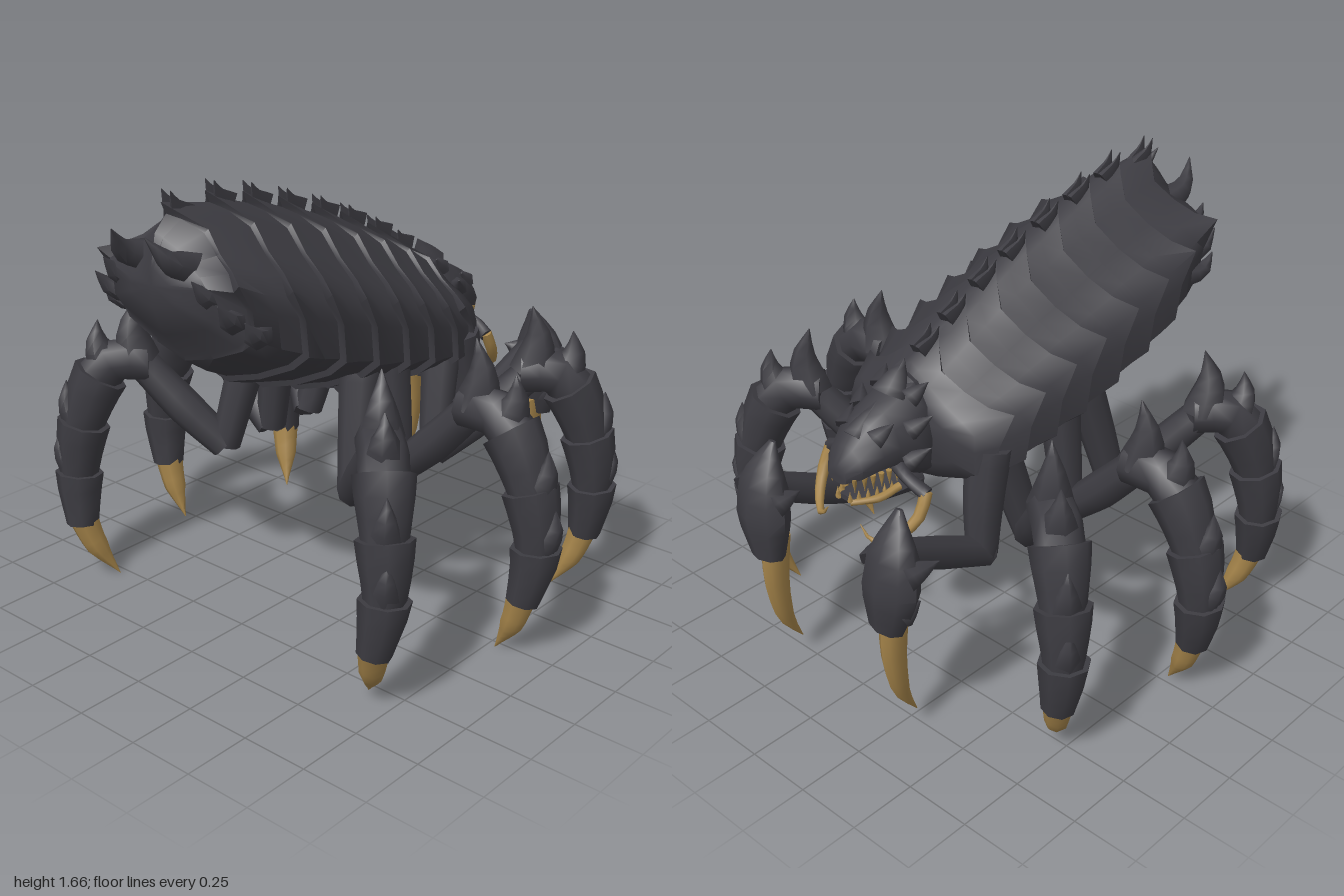
import * as THREE from 'three';
import { toCreasedNormals } from 'three/addons/utils/BufferGeometryUtils.js';

const V = (x, y, z) => new THREE.Vector3(x, y, z);

export function createModel() {
  const root = new THREE.Group();
  const shell = new THREE.MeshStandardMaterial({ color: 0x3d3c42 });
  shell.name = 'dark shell';
  const claw = new THREE.MeshStandardMaterial({ color: 0xa5844a });
  claw.name = 'golden claw';

  // Closed skin over rings of equal length, counterclockwise about the travel direction
  function loft(rings, crease = 0.8) {
    const n = rings[0].length, m = rings.length, pos = [], idx = [];
    rings.forEach(r => r.forEach(p => pos.push(p.x, p.y, p.z)));
    for (const r of [rings[0], rings[m - 1]]) {
      const c = V(0, 0, 0);
      r.forEach(p => c.addScaledVector(p, 1 / n));
      pos.push(c.x, c.y, c.z);
    }
    for (let j = 0; j < n; j++) {
      const k = (j + 1) % n;
      for (let i = 0; i < m - 1; i++) {
        const a = i * n + j, b = i * n + k;
        idx.push(a, b, b + n, a, b + n, a + n);
      }
      idx.push(m * n, k, j, m * n + 1, (m - 1) * n + j, (m - 1) * n + k);
    }
    const g = new THREE.BufferGeometry();
    g.setAttribute('position', new THREE.Float32BufferAttribute(pos, 3));
    g.setIndex(idx);
    return toCreasedNormals(g, crease);
  }
  function add(parent, name, geo, mat) {
    const mesh = new THREE.Mesh(geo, mat);
    mesh.name = name;
    parent.add(mesh);
  }
  // Row interpolation on the first column
  function lerpRow(table, t) {
    let i = 0;
    while (i < table.length - 2 && t > table[i + 1][0]) i++;
    const a = table[i], b = table[i + 1];
    const f = THREE.MathUtils.clamp((t - a[0]) / (b[0] - a[0]), 0, 1);
    return a.map((v, k) => v + (b[k] - v) * f);
  }
  // Tapered limb along a path; plates > 0 gives overlapping armour that flares at its start
  function limb(points, radii, { sides = 8, plates = 0, sx = 1, steps = 8 } = {}) {
    const curve = new THREE.CatmullRomCurve3(points);
    const N = plates ? plates * 3 : steps;
    const fr = curve.computeFrenetFrames(N, false);
    const table = radii.map((r, i) => [i / (radii.length - 1), r]);
    const rings = [];
    const ring = (i, f) => {
      const c = curve.getPointAt(i / N), r = Math.max(lerpRow(table, i / N)[1] * f, 0.0015);
      rings.push(Array.from({ length: sides }, (_, j) => {
        const a = j / sides * Math.PI * 2;
        const p = c.clone().addScaledVector(fr.normals[i], r * Math.cos(a)).addScaledVector(fr.binormals[i], r * Math.sin(a));
        p.x = c.x + (p.x - c.x) * sx;
        return p;
      }));
    };
    if (!plates) for (let i = 0; i <= N; i++) ring(i, 1);
    else for (let k = 0; k < plates; k++) [1.13, 1.08, 0.99, 0.9].forEach((f, q) => ring(k * 3 + q, f));
    return loft(rings, 1.1);
  }
  // Curved thorn
  function spike(parent, name, base, tip, r, mat = shell, bend = V(0, 0, 0), sx = 1) {
    const mid = base.clone().lerp(tip, 0.5).add(bend);
    add(parent, name, limb([base, mid, tip], [r, r * 0.6, 0], { sides: 6, steps: 5, sx }), mat);
  }

  // Cross-section halves, top to bottom: [width fraction, height fraction, chevron z shift, flare out, flare up]
  const bodyHalf = [[0, 1, 0.06, 0, 0.025], [0.12, 0.965, 0.025, 0, 0.005], [0.32, 0.875, -0.02, 0, 0], [0.56, 0.76, 0, 0, 0],
    [0.8, 0.675, 0.02, 0.005, 0.005], [0.97, 0.59, 0.055, 0.022, 0.03], [1, 0.46, 0.005, 0.005, 0], [1, 0.26, -0.01, 0, 0],
    [0.84, 0.18, 0, 0, 0], [0.42, 0.07, 0, 0, 0], [0, 0, 0, 0, 0]];
  const headHalf = [[0, 1], [0.4, 0.95], [0.8, 0.75], [1, 0.45], [0.9, 0.15], [0.5, 0.02], [0, 0]];
  // Stations: [z, half width, bottom, top]
  const body = [[-0.5, 0.22, 0.85, 1.12], [-0.47, 0.3, 0.78, 1.2], [-0.36, 0.345, 0.73, 1.28], [-0.2, 0.355, 0.75, 1.36],
    [-0.05, 0.36, 0.77, 1.43], [0.1, 0.365, 0.8, 1.48], [0.28, 0.365, 0.86, 1.54], [0.48, 0.36, 0.93, 1.59],
    [0.64, 0.335, 1.02, 1.61], [0.78, 0.285, 1.13, 1.59], [0.83, 0.22, 1.21, 1.53], [0.86, 0.1, 1.3, 1.43]];
  function section(table, half, z, f = 1, chevron = 0, flare = 0) {
    const [, w, lo, hi] = lerpRow(table, z);
    const mid = (lo + hi) / 2;
    const pt = ([x, y, dz = 0, out = 0, up = 0], s) =>
      V(s * (x * w * f + out * flare), mid + (lo + y * (hi - lo) - mid) * f + up * flare, z + dz * chevron);
    const left = half.slice(1, -1).map(p => pt(p, 1)).reverse();
    return [pt(half[half.length - 1], 1), ...left, pt(half[0], 1), ...half.slice(1, -1).map(p => pt(p, -1))];
  }

  // Body: overlapping plates that flare towards the tail, with pointed crest and shoulders
  const edges = [-0.4, -0.27, -0.12, 0.03, 0.2, 0.37, 0.54, 0.73];
  const rings = [section(body, bodyHalf, -0.5), section(body, bodyHalf, -0.47, 1, 0.2)];
  edges.forEach((z, i) => {
    rings.push(section(body, bodyHalf, z, 1.025, 1.3, 1));
    rings.push(section(body, bodyHalf, z + 0.004, 0.965, 0.9));
    if (i < edges.length - 1) rings.push(section(body, bodyHalf, (z + edges[i + 1]) / 2, 0.985, 0.9));
  });
  rings.push(section(body, bodyHalf, 0.82, 0.97, 0.3), section(body, bodyHalf, 0.86));
  add(root, 'plated body', loft(rings), shell);

  // Twin thorns along the spine
  const thorns = new THREE.Group();
  thorns.name = 'body thorns';
  root.add(thorns);
  for (const z of edges) for (const s of [1, -1]) {
    const hi = lerpRow(body, z)[3];
    spike(thorns, 'spineThorn', V(s * 0.012, hi - 0.03, z - 0.02), V(s * 0.02, hi + 0.055 + z * 0.015, z + 0.055), 0.048, shell,
      V(0, -0.005, 0.012), 0.35);
  }
  // Tail crown: [base x, y, z, tip x, y, z]
  const crown = [[0.1, 1.43, 0.78, 0.075, 1.56, 0.95], [0.17, 1.35, 0.74, 0.2, 1.43, 0.88], [0.22, 1.28, 0.71, 0.28, 1.36, 0.85],
    [0.27, 1.23, 0.66, 0.325, 1.3, 0.78]];
  for (const s of [1, -1]) for (const c of crown)
    spike(thorns, 'tailThorn', V(s * c[0], c[1], c[2]), V(s * c[3], c[4], c[5]), 0.062, shell, V(s * 0.02, -0.025, 0.01));

  // Head and jaw
  const head = new THREE.Group();
  head.name = 'head';
  root.add(head);
  const skull = [[-0.81, 0.045, 0.89, 0.95], [-0.77, 0.085, 0.895, 1.01], [-0.7, 0.115, 0.905, 1.08], [-0.64, 0.13, 0.9, 1.11],
    [-0.56, 0.145, 0.84, 1.15], [-0.5, 0.135, 0.8, 1.18], [-0.4, 0.1, 0.82, 1.14]];
  const jaw = [[-0.78, 0.035, 0.805, 0.825], [-0.7, 0.08, 0.785, 0.825], [-0.6, 0.1, 0.775, 0.85], [-0.5, 0.09, 0.74, 0.88]];
  add(head, 'skull', loft(skull.map(r => section(skull, headHalf, r[0]))), shell);
  add(head, 'jaw', loft(jaw.map(r => section(jaw, headHalf, r[0]))), shell);
  spike(head, 'crest', V(0, 1.12, -0.56), V(0, 1.23, -0.49), 0.07);
  spike(head, 'browRidge', V(0, 1.02, -0.72), V(0, 1.12, -0.62), 0.05);
  for (const s of [1, -1]) {
    for (const [x, y, z] of [[0.1, 1.17, -0.48], [0.17, 1.09, -0.53], [0.18, 0.98, -0.55], [0.1, 1.08, -0.64]])
      spike(head, 'headThorn', V(s * x * 0.7, y - 0.05, z - 0.06), V(s * x, y, z), 0.04);
    add(head, 'cheekStalk', limb([V(s * 0.08, 0.92, -0.62), V(s * 0.16, 0.9, -0.645), V(s * 0.235, 0.86, -0.63)], [0.03, 0.022, 0.026]), shell);
    add(head, 'tusk', limb([V(s * 0.232, 0.87, -0.63), V(s * 0.235, 0.79, -0.67), V(s * 0.19, 0.72, -0.735), V(s * 0.13, 0.695, -0.78),
      V(s * 0.08, 0.75, -0.79)], [0.022, 0.021, 0.018, 0.012, 0]), claw);
    add(head, 'lip', limb([V(s * 0.095, 0.83, -0.62), V(s * 0.08, 0.812, -0.7), V(s * 0.03, 0.81, -0.785)], [0.014, 0.014, 0.01]), claw);
    for (let i = 0; i < 6; i++) {
      const z = -0.64 - i * 0.029;
      const x = s * lerpRow(skull, z)[1] * 0.8, xl = s * lerpRow(jaw, z)[1] * 0.85;
      spike(head, 'upperTooth', V(x, 0.915, z), V(x, 0.862, z), 0.011, claw);
      spike(head, 'lowerTooth', V(xl, 0.815, z), V(xl, 0.85, z), 0.01, claw);
    }
  }

  // Walking legs, each joint given as [x, z]
  function leg(name, s, hip, low, knee, outer, ankle, foot) {
    const g = new THREE.Group();
    g.name = name;
    root.add(g);
    const at = ([x, z], y) => V(s * x, y, z);
    const mix = (a, b, t) => [a[0] + (b[0] - a[0]) * t, a[1] + (b[1] - a[1]) * t];
    const bulge = V(s * (outer[0] - knee[0]) * 0.08, 0, (outer[1] - knee[1]) * 0.08);
    add(g, 'hip', limb([at(hip, 0.96), at(mix(hip, low, 0.5), 0.76), at(low, 0.54)], [0.075, 0.065, 0.055]), shell);
    add(g, 'thigh', limb([at(low, 0.54), at(mix(low, knee, 0.5), 0.68), at(knee, 0.84)], [0.058, 0.068, 0.062]), shell);
    add(g, 'armouredShin', limb([at(mix(low, knee, 0.94), 0.86), at(mix(knee, outer, 0.45), 0.86), at(mix(knee, outer, 0.85), 0.66),
      at(outer, 0.42), at(ankle, 0.22)], [0.07, 0.093, 0.088, 0.08, 0.067], { plates: 4 }), shell);
    add(g, 'footClaw', limb([at(ankle, 0.25), at(mix(ankle, foot, 0.35), 0.13), at(foot, 0.005)], [0.056, 0.043, 0]), claw);
    // Shin thorns: [base along knee to outer, base y, tip along, tip y, radius]
    for (const [a, y, b, ty, r] of [[0.1, 0.87, 0.06, 1.11, 0.085], [0.5, 0.84, 0.62, 1.02, 0.08], [0.93, 0.62, 1.1, 0.79, 0.07], [1.06, 0.44, 1.23, 0.59, 0.06]])
      spike(g, 'shinThorn', at(mix(knee, outer, a), y), at(mix(knee, outer, b), ty), r, shell, bulge);
  }
  for (const s of [1, -1]) {
    const side = s > 0 ? 'left' : 'right';
    leg(side + 'TailLeg', s, [0.25, 0.14], [0.31, 0.25], [0.56, 0.41], [0.74, 0.6], [0.715, 0.62], [0.62, 0.53]);
    leg(side + 'MiddleLeg', s, [0.26, 0], [0.31, 0], [0.61, -0.01], [0.91, 0], [0.88, 0.02], [0.78, 0.03]);
    leg(side + 'HeadLeg', s, [0.25, -0.33], [0.31, -0.21], [0.57, -0.4], [0.78, -0.56], [0.76, -0.56], [0.67, -0.47]);

    // Grasping arms with hooked blades
    const arm = new THREE.Group();
    arm.name = side + 'Arm';
    root.add(arm);
    add(arm, 'upperArm', limb([V(s * 0.28, 0.95, -0.38), V(s * 0.29, 0.75, -0.42), V(s * 0.3, 0.56, -0.44)], [0.08, 0.07, 0.055]), shell);
    add(arm, 'forearm', limb([V(s * 0.3, 0.56, -0.42), V(s * 0.29, 0.65, -0.62), V(s * 0.3, 0.76, -0.84)], [0.055, 0.06, 0.055]), shell);
    add(arm, 'hand', limb([V(s * 0.31, 0.93, -0.825), V(s * 0.32, 0.82, -0.86), V(s * 0.32, 0.68, -0.88), V(s * 0.3, 0.5, -0.89)],
      [0.01, 0.068, 0.078, 0.048], { sx: 1.5 }), shell);
    for (const [x, y, z] of [[0.45, 0.78, -0.79], [0.2, 0.77, -0.81], [0.4, 0.62, -0.83]])
      spike(arm, 'handThorn', V(s * (x * 0.6 + 0.125), y - 0.04, -0.88), V(s * x, y, z), 0.055);
    add(arm, 'blade', limb([V(s * 0.3, 0.56, -0.855), V(s * 0.3, 0.38, -0.865), V(s * 0.3, 0.2, -0.835), V(s * 0.3, 0.08, -0.77)],
      [0.062, 0.054, 0.038, 0], { sx: 0.65 }), claw);
  }
  return root;
}
